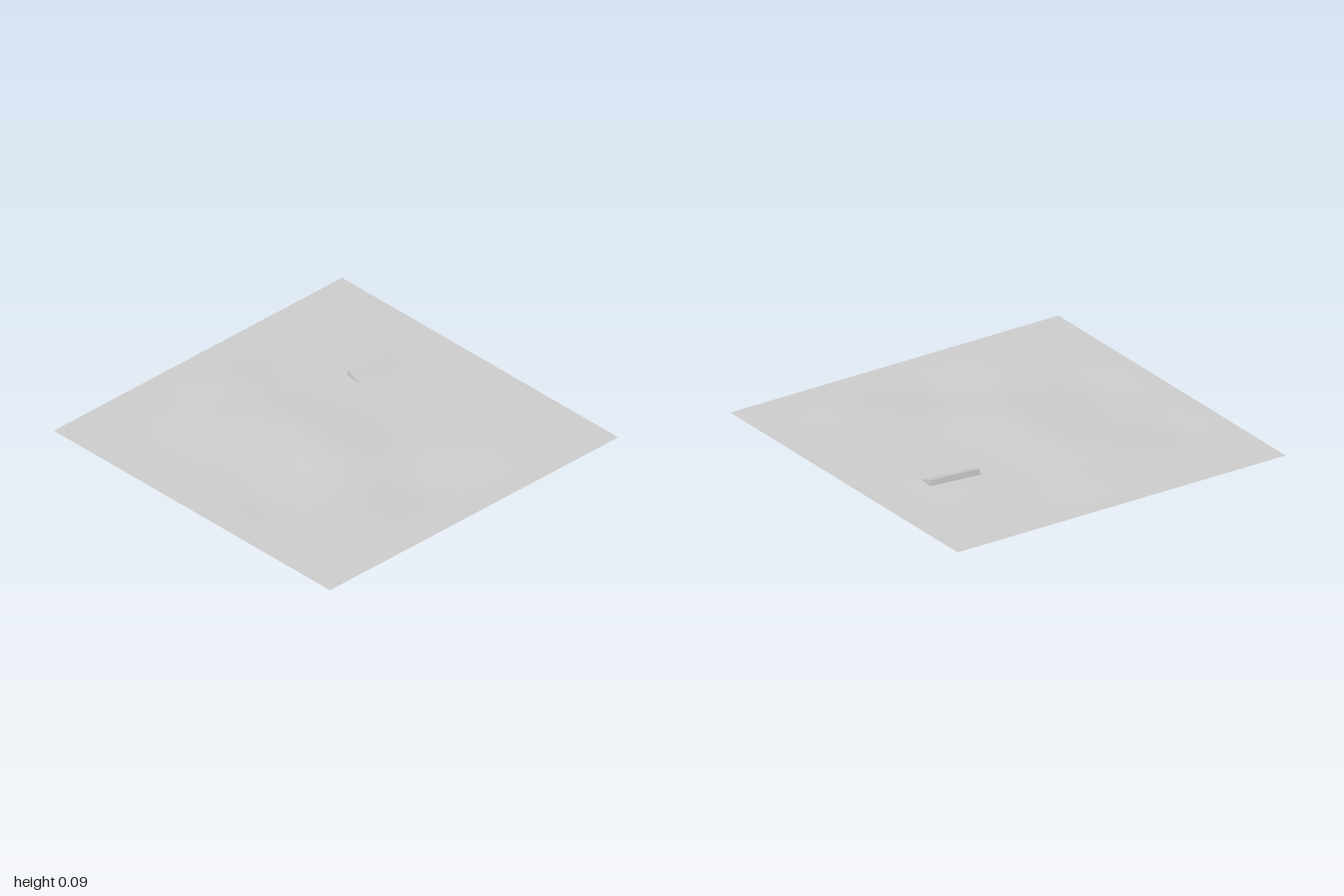
import * as THREE from 'three';

// Soft hills and hollows: x, z, height, radius
const BUMPS = [
  [-0.22, 0.1, 0.022, 0.25],
  [0.15, 0.12, 0.021, 0.26],
  [-0.75, 0.05, 0.018, 0.22],
  [-0.5, 0.35, 0.012, 0.25],
  [-0.3, -0.45, 0.009, 0.28],
  [0.64, 0.02, -0.023, 0.24],
  [0.2, 0.68, -0.01, 0.22],
  [-0.4, 0.72, -0.008, 0.2],
  [0.75, -0.5, 0.008, 0.2],
];

// The relief fades out to a flat, square rim
function groundHeight(x, z) {
  const fade = (t) => Math.min(1, (1 - Math.abs(t)) / 0.3);
  let h = 0;
  for (const [bx, bz, height, r] of BUMPS) {
    h += height * Math.exp(-((x - bx) ** 2 + (z - bz) ** 2) / (r * r));
  }
  return 0.045 + h * fade(x) * fade(z);
}

export function createModel() {
  const model = new THREE.Group();

  // Gently rolling ground sheet
  const groundGeometry = new THREE.PlaneGeometry(2, 2, 48, 48).rotateX(-Math.PI / 2);
  const p = groundGeometry.attributes.position;
  for (let i = 0; i < p.count; i++) p.setY(i, groundHeight(p.getX(i), p.getZ(i)));
  groundGeometry.computeVertexNormals();
  const ground = new THREE.Mesh(
    groundGeometry,
    new THREE.MeshStandardMaterial({ color: 0xcccccc, side: THREE.DoubleSide })
  );
  ground.name = 'ground';
  model.add(ground);

  // Tilted slab, half buried in the ground
  const slab = new THREE.Mesh(
    new THREE.BoxGeometry(0.165, 0.031, 0.28),
    new THREE.MeshStandardMaterial({ color: 0xcccccc })
  );
  slab.name = 'buriedSlab';
  slab.position.set(-0.24, 0.044, -0.53);
  slab.rotation.set(0, -0.107, -0.35, 'YXZ');
  model.add(slab);

  return model;
}
